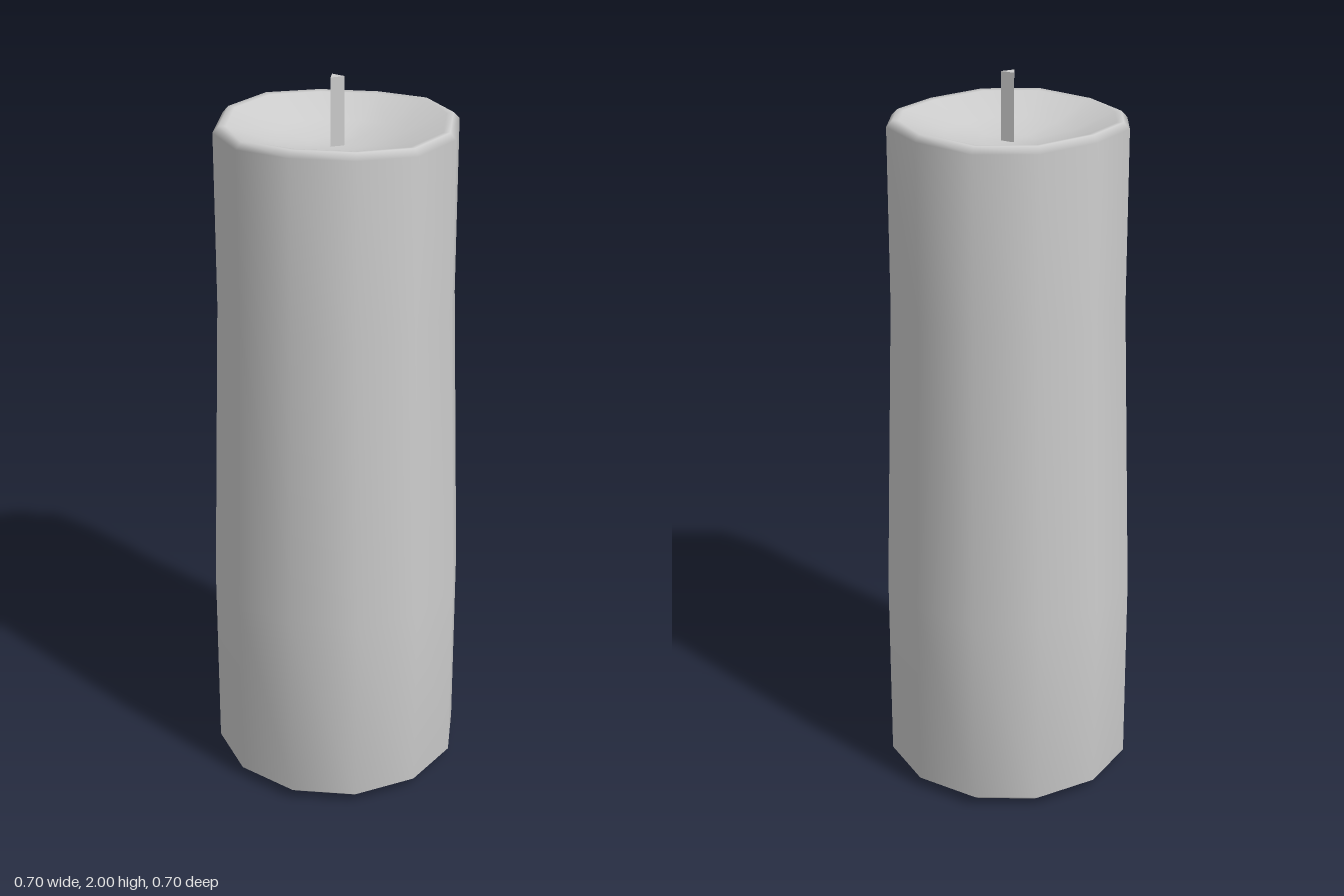
import * as THREE from 'three';
import { mergeVertices } from 'three/addons/utils/BufferGeometryUtils.js';

export function createModel() {
  const group = new THREE.Group();
  group.name = 'candle';
  const wax = new THREE.MeshStandardMaterial({ color: 0xcccccc });
  wax.name = 'pale grey wax';

  // Twelve-sided wax body: bevelled foot, gentle taper, rounded rim, hollow top
  const profile = [
    [0, 0], [0.31, 0], [0.349, 0.03], [0.348, 0.58], [0.32, 1.4], [0.319, 1.87],
    [0.303, 1.887], [0.285, 1.885], [0.17, 1.84], [0.07, 1.822], [0, 1.82],
  ].map(([r, y]) => new THREE.Vector2(r, y));
  let body = new THREE.LatheGeometry(profile, 12);

  // Slightly uneven, melted rim and hollow
  const p = body.attributes.position;
  for (let i = 0; i < p.count; i++) {
    const x = p.getX(i), y = p.getY(i), z = p.getZ(i);
    if (y < 1.8) continue;
    const r = Math.hypot(x, z), a = Math.atan2(z, x);
    p.setY(i, y + 0.006 * (r / 0.3) * Math.sin(3 * a + 0.6));
  }
  // Weld the seam so the shading runs smoothly all round
  body.deleteAttribute('uv');
  body.deleteAttribute('normal');
  body = mergeVertices(body, 1e-4);
  body.computeVertexNormals();
  const bodyMesh = new THREE.Mesh(body, wax);
  bodyMesh.name = 'waxBody';
  group.add(bodyMesh);

  // Three-sided wick, with flat faces
  const wickGeo = new THREE.CylinderGeometry(0.0225, 0.0225, 0.19, 3, 1, false, Math.PI * 0.25).toNonIndexed();
  wickGeo.computeVertexNormals();
  const wick = new THREE.Mesh(wickGeo, wax);
  wick.name = 'wick';
  wick.position.set(-0.006, 1.905, 0.002);
  group.add(wick);

  return group;
}
